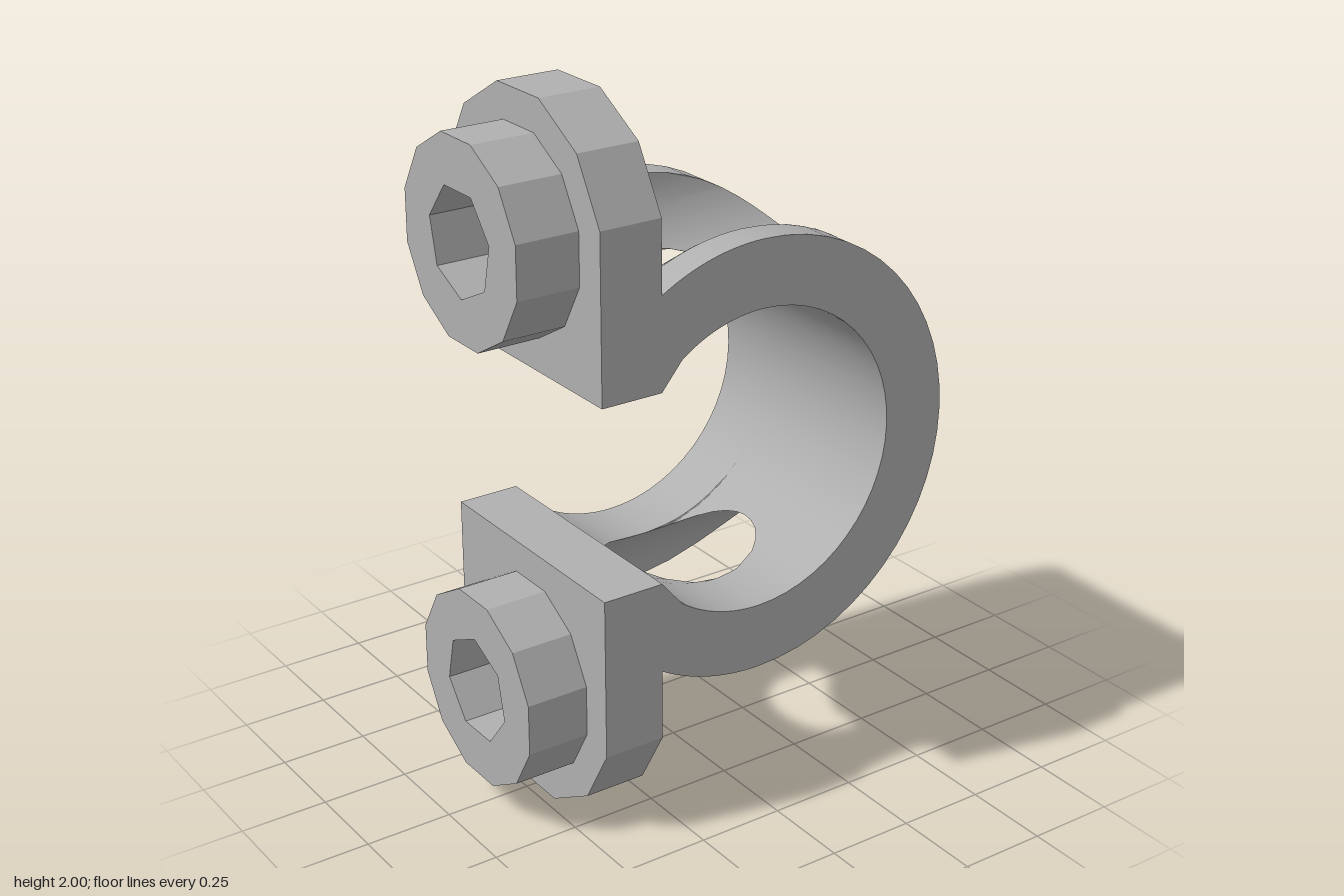
import * as THREE from 'three';
import { toCreasedNormals } from 'three/addons/utils/BufferGeometryUtils.js';

const CX = 0.025, R_OUT = 0.617, R_IN = 0.428;   // band centre and radii
const HALF = 0.365;                              // half width of band and flanges
const PORT_Y = 1.635, PORT_R = 0.27;             // bolt axis height, clearance bore
const FACE_X = -0.29, BACK_X = -0.47, FLOOR_X = -0.38, BOSS_X = -0.65;
const N = 14;

// push the triangles of a grid of points; mirrored copies go below y = 1
function addGrid(out, rows) {
  const tri = (a, b, c) => {
    const area = new THREE.Vector3().subVectors(b, a).cross(new THREE.Vector3().subVectors(c, a)).length();
    if (area < 1e-8) return;
    for (const p of [a, b, c]) out.push(p.x, p.y, p.z);
    for (const p of [a, c, b]) out.push(p.x, 2 - p.y, p.z);
  };
  for (let j = 0; j + 1 < rows.length; j++) {
    for (let i = 0; i + 1 < rows[j].length; i++) {
      const a = rows[j][i], b = rows[j][i + 1], c = rows[j + 1][i + 1], d = rows[j + 1][i];
      tri(a, b, c);
      tri(a, c, d);
    }
  }
}

// upper half of the band profile at depth z, trimmed by the round bolt clearance
function slice(z) {
  const inside = Math.abs(z) < PORT_R;
  const cutY = inside ? PORT_Y - Math.sqrt(PORT_R ** 2 - z ** 2) : 9;
  const at = (r, a) => new THREE.Vector3(CX + r * Math.cos(a), Math.min(1 + r * Math.sin(a), cutY), z);
  const arc = (r, a0, a1) => Array.from({ length: N + 1 }, (_, i) => at(r, a0 + (a1 - a0) * i / N));
  const crossing = (r) => Math.asin(Math.min(1, (cutY - 1) / r));

  const endA = Math.acos((FACE_X - CX) / R_OUT);
  const ao = crossing(R_OUT), ai = crossing(R_IN);
  const outerRight = arc(R_OUT, 0, ao);
  const outerLeft = arc(R_OUT, Math.min(Math.PI - ao, endA), endA);
  const innerRight = arc(R_IN, 0, ai);
  const innerLeft = [...arc(R_IN, Math.PI - ai, 2.2), new THREE.Vector3(FACE_X, 1.27, z)];
  // edge of the clearance cut, meeting in the middle where it does not break through
  const meetR = innerRight[N].clone(), meetL = innerLeft[0].clone();
  if (cutY > 1 + R_IN) {
    meetR.set(CX, Math.min(cutY, 1 + R_OUT), z);
    meetL.copy(meetR);
  }
  return {
    outerRight, outerLeft, innerRight, innerLeft,
    cutRight: [outerRight[N], meetR],
    cutLeft: [meetL, outerLeft[0]],
  };
}

function bandGeometry() {
  // depths: ends, bore steps, and the places where the cut changes character
  const zs = [0, HALF, PORT_R];
  for (let i = 1; i < 12; i++) zs.push(PORT_R * Math.sin(i * Math.PI / 24));
  const yEnd = Math.sqrt(R_OUT ** 2 - (FACE_X - CX) ** 2);
  for (const h of [R_OUT, R_IN, yEnd, R_IN - 0.004]) zs.push(Math.sqrt(PORT_R ** 2 - (PORT_Y - 1 - h) ** 2));
  const all = [...new Set(zs.flatMap((z) => (z ? [z, -z] : [0])))].sort((a, b) => a - b);
  const slices = all.map(slice);

  const out = [];
  for (const k of ['outerRight', 'outerLeft', 'cutRight', 'cutLeft']) addGrid(out, slices.map((s) => s[k]));
  for (const k of ['innerRight', 'innerLeft']) addGrid(out, slices.map((s) => [...s[k]].reverse()));
  // flat side faces
  const side = (s) => [
    [...s.outerRight, ...s.outerLeft, s.outerLeft[N]],
    [...s.innerRight, ...s.innerLeft],
  ];
  addGrid(out, side(slices[slices.length - 1]));
  addGrid(out, side(slices[0]).reverse());

  const g = new THREE.BufferGeometry();
  g.setAttribute('position', new THREE.Float32BufferAttribute(out, 3));
  return toCreasedNormals(g, 0.6);
}

// regular polygon points about the bolt axis
function polygon(n, r, start, cy) {
  return Array.from({ length: n }, (_, i) => {
    const a = start + i * 2 * Math.PI / n;
    return new THREE.Vector2(r * Math.cos(a), cy + r * Math.sin(a));
  });
}

// extrude a z-y outline along x
function plate(outline, hole, x0, x1) {
  const shape = new THREE.Shape(outline);
  shape.holes.push(new THREE.Path(hole));
  const g = new THREE.ExtrudeGeometry(shape, { depth: x1 - x0, bevelEnabled: false });
  g.rotateY(Math.PI / 2);
  g.translate(x0, 0, 0);
  return g;
}

export function createModel() {
  const grey = new THREE.MeshStandardMaterial({ color: 0xb0b0b0 });
  grey.name = 'grey metal';
  const model = new THREE.Group();
  model.name = 'pipeClamp';
  const add = (name, geometry) => {
    const mesh = new THREE.Mesh(geometry, grey);
    mesh.name = name;
    model.add(mesh);
  };

  add('clampBand', bandGeometry());

  for (const [label, s] of [['upper', 1], ['lower', -1]]) {
    const cy = 1 + s * (PORT_Y - 1);
    const deg = Math.PI / 180;
    // flange: square foot towards the gap, round twelve-sided outer end
    const outline = [new THREE.Vector2(-HALF, 1 + s * 0.27), new THREE.Vector2(HALF, 1 + s * 0.27)];
    for (let a = 15; a <= 165; a += 30) {
      outline.push(new THREE.Vector2(0.378 * Math.cos(a * deg), cy + s * 0.378 * Math.sin(a * deg)));
    }
    add(label + 'Flange', plate(outline, polygon(48, PORT_R, 0, cy), BACK_X, FACE_X));
    // boss with bolt hole; its inner end is the floor of the counterbore
    const hole = polygon(7, 0.15, s * (90 + 180 / 7) * deg, cy);
    add(label + 'Boss', plate(polygon(12, 0.281, 15 * deg, cy), hole, BOSS_X, FLOOR_X));
  }
  return model;
}
